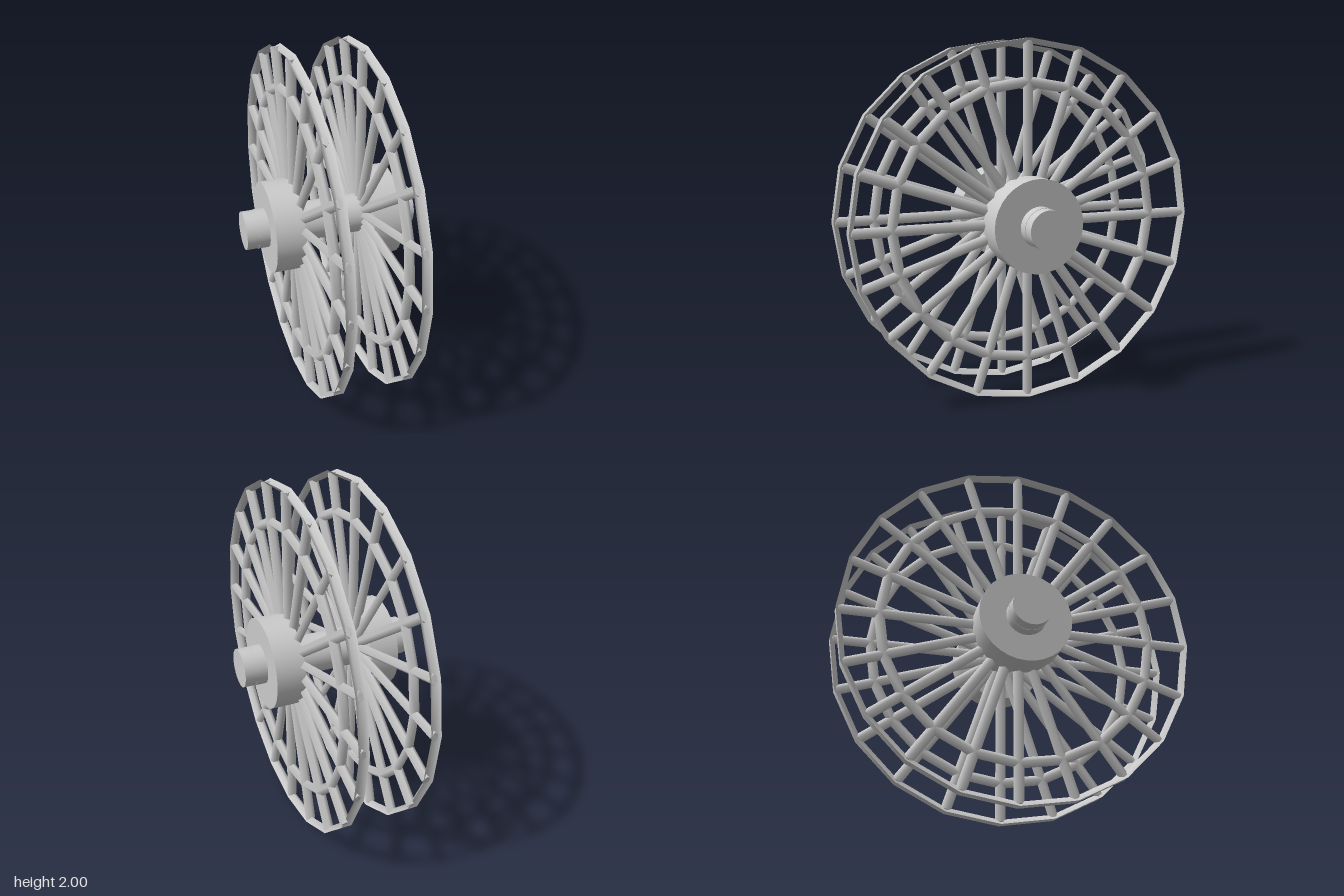
import * as THREE from 'three';

const SPOKES = 20;      // spokes and ring sides
const WHEEL_X = 0.195;  // distance of each wheel from the middle
const BAR = 0.029;      // half thickness of the diamond-section bars

export function createModel() {
  const model = new THREE.Group();
  model.name = 'spokedReel';
  const grey = new THREE.MeshStandardMaterial({ color: 0xcccccc });
  const greySheet = new THREE.MeshStandardMaterial({ color: 0xcccccc, side: THREE.DoubleSide });

  const add = (parent, name, geometry, material = grey) => {
    const mesh = new THREE.Mesh(geometry, material);
    mesh.name = name;
    parent.add(mesh);
    return mesh;
  };
  const disc = (radius, length) =>
    new THREE.CylinderGeometry(radius, radius, length, 32).rotateZ(Math.PI / 2);

  // Axle with a close-fitting sleeve
  add(model, 'axle', disc(0.109, 0.98)).position.y = 1;
  add(model, 'axleSleeve', disc(0.111, 0.844)).position.y = 1;

  // Shared wheel parts
  const inner = 0.1, outer = 0.985;
  const spokeGeometry = new THREE.CylinderGeometry(BAR, BAR, outer - inner, 4)
    .translate(0, (inner + outer) / 2, 0);
  const ringGeometry = new THREE.TorusGeometry(0.768, BAR, 4, SPOKES).rotateY(Math.PI / 2);
  // V-shaped channel, open outwards
  const rimGeometry = new THREE.LatheGeometry([
    new THREE.Vector2(1, -BAR),
    new THREE.Vector2(0.971, 0),
    new THREE.Vector2(1, BAR),
  ], SPOKES).rotateZ(Math.PI / 2);

  for (const side of [1, -1]) {
    const wheel = new THREE.Group();
    wheel.name = side > 0 ? 'leftWheel' : 'rightWheel';
    wheel.position.set(side * WHEEL_X, 1, 0);
    model.add(wheel);

    add(wheel, 'rim', rimGeometry, greySheet);
    add(wheel, 'innerRing', ringGeometry);
    for (let i = 0; i < SPOKES; i++) {
      add(wheel, 'spoke', spokeGeometry).rotation.x = (i / SPOKES) * Math.PI * 2;
    }

    // Thick hub on the outer face
    add(wheel, 'hub', disc(0.259, 0.166)).position.x = side * 0.083;
  }
  return model;
}
